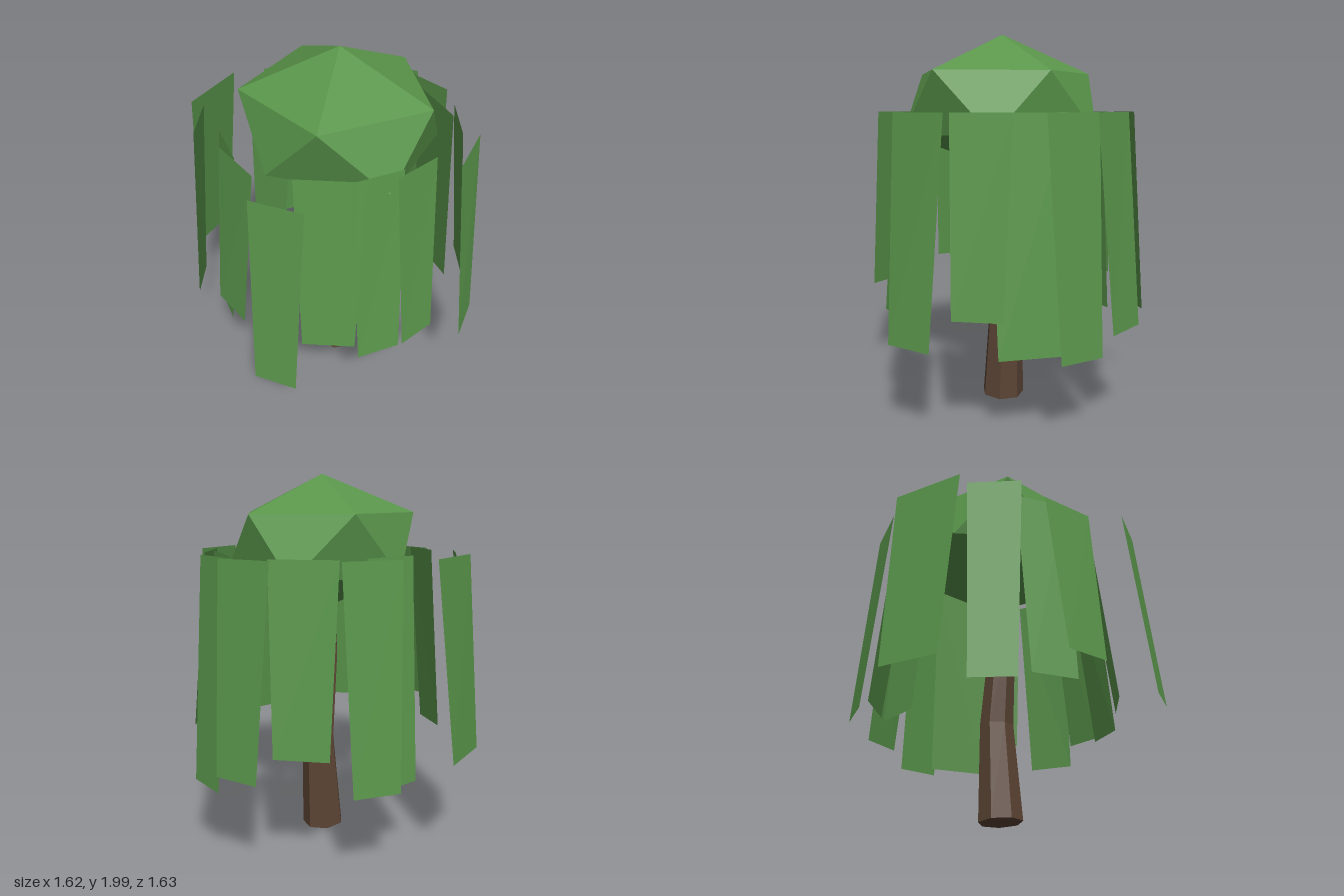
import * as THREE from 'three';
import { ConvexGeometry } from 'three/addons/geometries/ConvexGeometry.js';

// Flat-shaded geometry from a list of quads, corners counter-clockwise from outside
function quads(list) {
  const pos = [];
  for (const [a, b, c, d] of list) for (const p of [a, b, c, a, c, d]) pos.push(...p);
  const g = new THREE.BufferGeometry();
  g.setAttribute('position', new THREE.Float32BufferAttribute(pos, 3));
  g.computeVertexNormals();
  return g;
}

export function createModel() {
  const tree = new THREE.Group();
  tree.name = 'willowTree';
  const leaf = new THREE.MeshStandardMaterial({ color: 0x5a964b, flatShading: true });
  leaf.name = 'leafGreen';
  const frondLeaf = leaf;
  frondLeaf.side = THREE.DoubleSide;
  const bark = new THREE.MeshStandardMaterial({ color: 0x5c4535, flatShading: true });
  bark.name = 'barkBrown';
  const add = (name, geometry, material, parent = tree) => {
    const mesh = new THREE.Mesh(geometry, material);
    mesh.name = name;
    parent.add(mesh);
    return mesh;
  };

  // Bent, tapering trunk: seven-sided rings of [x, y, z, radius, tilt]
  const rings = [
    [0.02, 0.012, 0.05, 0.117, -0.04],
    [0.05, 0.53, 0.05, 0.092, 0],
    [0.0, 1.03, 0.05, 0.074, 0],
    [0.02, 1.48, 0.05, 0.06, 0],
  ];
  const sides = 7;
  const ringPoint = ([x, y, z, r, tilt], i) => {
    const a = (i / sides) * Math.PI * 2;
    const dx = Math.sin(a) * r;
    return [x + dx, y + dx * tilt * 1.5, z + Math.cos(a) * r];
  };
  const faces = [];
  for (let i = 0; i < sides; i++) {
    for (let k = 0; k < rings.length - 1; k++) {
      faces.push([ringPoint(rings[k], i), ringPoint(rings[k], i + 1),
        ringPoint(rings[k + 1], i + 1), ringPoint(rings[k + 1], i)]);
    }
    const base = rings[0].slice(0, 3);
    faces.push([base, ringPoint(rings[0], i + 1), ringPoint(rings[0], i), base]);
  }
  add('trunk', quads(faces), bark);

  // Crown: squashed, slightly irregular twenty-sided ball
  const crown = [
    [0.02, 2, 0.05], [0.02, 1.28, 0.05],
    [0.485, 1.795, 0.05], [0.17, 1.8, -0.41], [-0.38, 1.8, -0.24], [-0.38, 1.8, 0.34], [0.17, 1.8, 0.53],
    [-0.46, 1.48, 0.05], [-0.13, 1.48, -0.41], [0.45, 1.48, -0.26], [0.445, 1.48, 0.35], [-0.13, 1.48, 0.565],
  ].map((p) => new THREE.Vector3(...p));
  add('crown', new ConvexGeometry(crown), leaf);

  // Hanging fronds: top edge x,z x,z; bottom edge x,z x,z; bottom height
  const fronds = [
    [-0.73, 0.28, -0.61, 0.52, -0.81, 0.34, -0.71, 0.54, 0.55],
    [-0.06, -0.74, -0.43, -0.61, -0.13, -0.82, -0.43, -0.71, 0.58],
    [0.38, -0.565, 0.09, -0.66, 0.38, -0.66, 0.15, -0.74, 0.48],
    [0.175, -0.505, -0.125, -0.505, 0.145, -0.6, -0.09, -0.6, 0.44],
    [-0.4, -0.54, -0.595, -0.34, -0.49, -0.59, -0.645, -0.43, 0.48],
    [0.57, -0.245, 0.335, -0.495, 0.615, -0.33, 0.425, -0.535, 0.64],
    [0.725, -0.055, 0.615, -0.33, 0.805, -0.11, 0.72, -0.34, 0.53],
    [0.68, 0.2, 0.68, -0.1, 0.775, 0.17, 0.775, -0.07, 0.42],
    [0.49, 0.405, 0.61, 0.035, 0.59, 0.405, 0.69, 0.09, 0.43],
    [0.39, 0.55, 0.59, 0.325, 0.485, 0.6, 0.645, 0.41, 0.63],
    [0.16, 0.735, 0.45, 0.61, 0.23, 0.815, 0.46, 0.705, 0.48],
    [-0.125, 0.605, 0.14, 0.605, -0.105, 0.695, 0.115, 0.7, 0.56],
    [-0.31, 0.49, -0.05, 0.575, -0.325, 0.59, -0.105, 0.67, 0.53],
    [-0.485, 0.29, -0.25, 0.535, -0.535, 0.385, -0.345, 0.58, 0.62],
  ];
  fronds.push(
    [-0.575, -0.155, -0.605, 0.15, -0.68, -0.135, -0.695, 0.11, 0.69],
    [-0.485, -0.28, -0.58, -0.02, -0.58, -0.285, -0.66, -0.06, 0.56],
  );
  const canopy = new THREE.Group();
  canopy.name = 'fronds';
  tree.add(canopy);
  for (const [ax, az, bx, bz, cx, cz, dx, dz, y] of fronds) {
    const quad = [[cx, y, cz], [dx, y, dz], [bx, 1.595, bz], [ax, 1.595, az]];
    add('frond', quads([quad]), leaf, canopy);
  }
  return tree;
}
